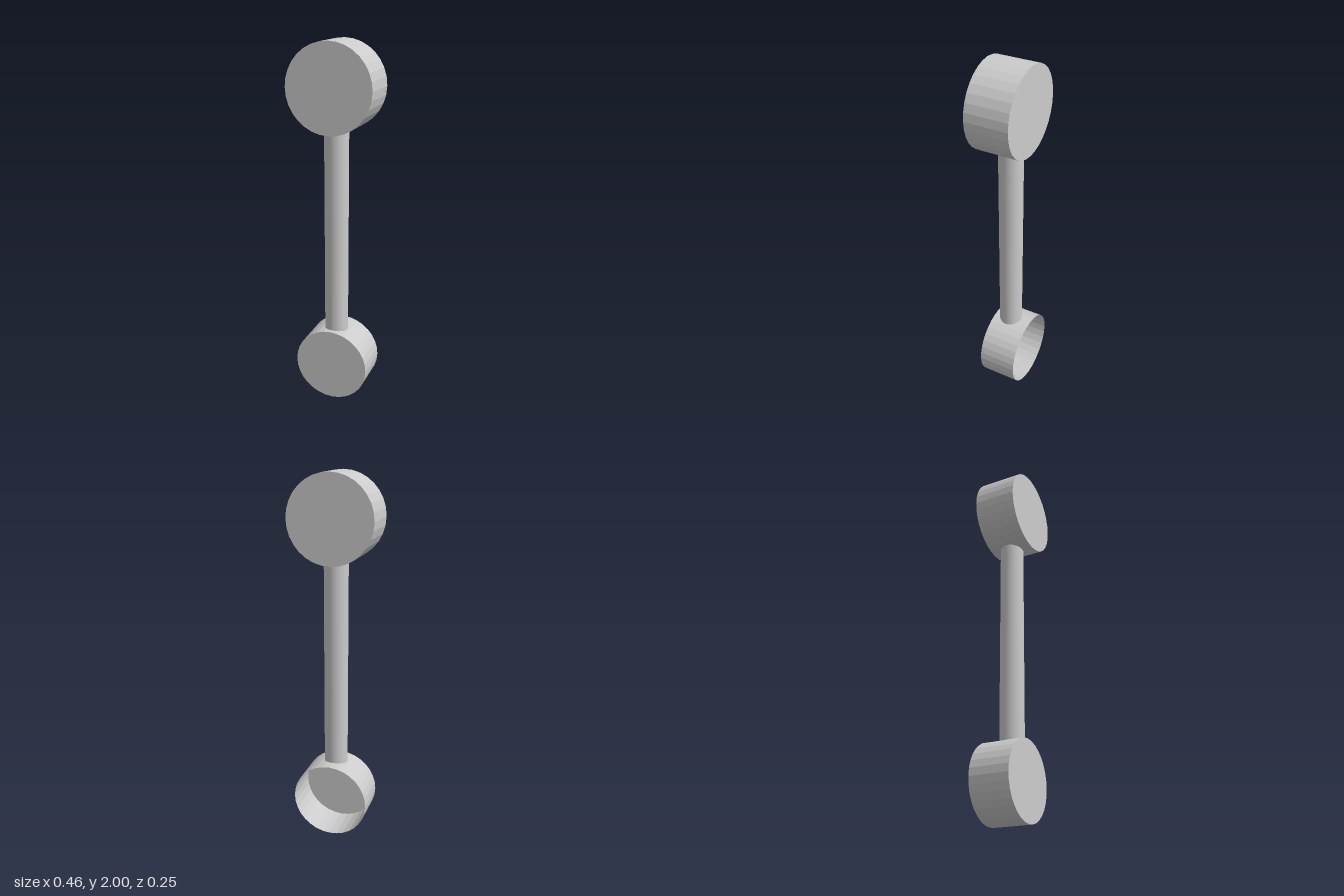
import * as THREE from 'three';

const SIDES = 32;

export function createModel() {
  const group = new THREE.Group();
  const faceted = new THREE.MeshStandardMaterial({ color: 0xcccccc, flatShading: true });
  const thin = new THREE.MeshStandardMaterial({ color: 0xcccccc, flatShading: true, side: THREE.DoubleSide });
  const smooth = new THREE.MeshStandardMaterial({ color: 0xcccccc });

  const add = (name, geometry, material, x, y, z) => {
    const mesh = new THREE.Mesh(geometry, material);
    mesh.name = name;
    mesh.position.set(x, y, z);
    group.add(mesh);
  };

  // Drum lying along z
  const drum = (radius, depth, open) =>
    new THREE.CylinderGeometry(radius, radius, depth, SIDES, 1, open).rotateX(Math.PI / 2);

  // Closed upper drum
  add('upperDrum', drum(0.231, 0.234, false), faceted, 0, 1.769, 0.007);

  // Lower cup: thin wall, closed at the front and open at the back
  add('lowerCupWall', drum(0.209, 0.216, true), thin, -0.002, 0.209, -0.017);
  add('lowerCupFront', new THREE.CircleGeometry(0.209, SIDES).rotateZ(Math.PI / 2), thin, -0.002, 0.209, 0.091);

  // Connecting rod, its lower end just inside the cup
  const bottom = 0.4, top = 1.57;
  add('rod', new THREE.CylinderGeometry(0.065, 0.065, top - bottom, SIDES), smooth, -0.001, (top + bottom) / 2, 0);

  return group;
}
